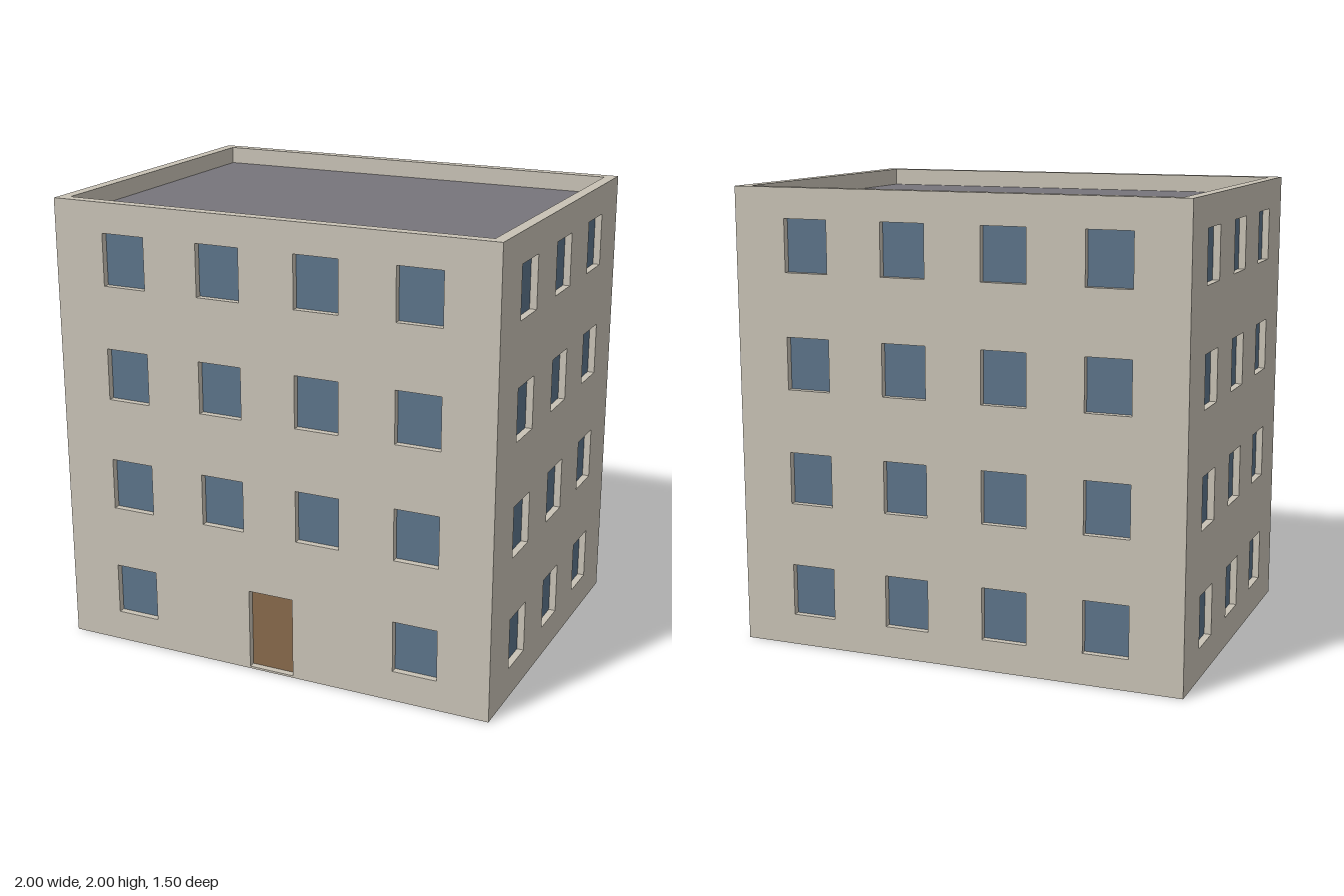
import * as THREE from 'three';

const W = 2, D = 1.5, H = 2;          // overall size
const T = 0.05;                       // wall and parapet thickness
const RECESS = 0.03;                  // depth of window and door reveals
const ROOF_Y = 1.925;                 // roof deck inside the parapet
const WIN_H = 0.227;
const FLOORS = [0.25, 0.752, 1.254, 1.756];

const flat = (name, color) => {
  const m = new THREE.MeshStandardMaterial({ color });
  m.name = name;
  return m;
};

export function createModel() {
  const wallMat = flat('stone wall', 0xc8c2b5);
  const glassMat = flat('blue glass', 0x5c7389);
  const doorMat = flat('brown door', 0x87694b);
  const greyMat = flat('grey roof', 0x77757b);

  const model = new THREE.Group();
  model.name = 'apartmentBlock';

  const add = (parent, name, geometry, material, x = 0, y = 0, z = 0) => {
    const mesh = new THREE.Mesh(geometry, material);
    mesh.name = name;
    mesh.position.set(x, y, z);
    parent.add(mesh);
  };

  // One wall facing local +z, with an opening and a recessed panel for each item
  function addFacade(name, width, distance, angle, openings) {
    const facade = new THREE.Group();
    facade.name = name;
    const shape = new THREE.Shape();
    const rect = (path, x0, y0, x1, y1) =>
      path.moveTo(x0, y0).lineTo(x1, y0).lineTo(x1, y1).lineTo(x0, y1).closePath();
    rect(shape, -width / 2, 0.001, width / 2, H);

    for (const o of openings) {
      const hole = new THREE.Path();
      rect(hole, o.x - o.w / 2, o.y - o.h / 2, o.x + o.w / 2, o.y + o.h / 2);
      shape.holes.push(hole);
      add(facade, o.name, new THREE.BoxGeometry(o.w, o.h, 0.008), o.material,
        o.x, o.y, distance - RECESS - 0.004);
    }
    const wall = new THREE.ExtrudeGeometry(shape, { depth: T, bevelEnabled: false });
    add(facade, 'wall', wall, wallMat, 0, 0, distance - T);
    facade.rotation.y = angle;
    model.add(facade);
  }

  // Grid of windows
  const windows = (columns, w) => FLOORS.flatMap((y) =>
    columns.map((x) => ({ name: 'window', x, y, w, h: WIN_H, material: glassMat })));

  const longSide = windows([-0.669, -0.223, 0.223, 0.669], 0.198);
  const shortSide = windows([-0.428, 0, 0.428], 0.19);
  const door = { name: 'door', x: 0, y: 0.189, w: 0.208, h: 0.358, material: doorMat };

  // The door takes the place of the two middle ground-floor windows
  const frontSide = longSide.filter((o) => o.y > FLOORS[0] || Math.abs(o.x) > 0.5);
  addFacade('frontFacade', W, D / 2, 0, [...frontSide, door]);
  addFacade('backFacade', W, D / 2, Math.PI, longSide);
  addFacade('leftFacade', D - 2 * T, W / 2, Math.PI / 2, shortSide);
  addFacade('rightFacade', D - 2 * T, W / 2, -Math.PI / 2, shortSide);

  // Sunken roof deck
  add(model, 'roofDeck', new THREE.BoxGeometry(W - 2 * T, 0.04, D - 2 * T), greyMat,
    0, ROOF_Y - 0.02, 0);

  // Underside
  const base = new THREE.PlaneGeometry(W, D).rotateX(Math.PI / 2);
  add(model, 'underside', base, greyMat);

  return model;
}
